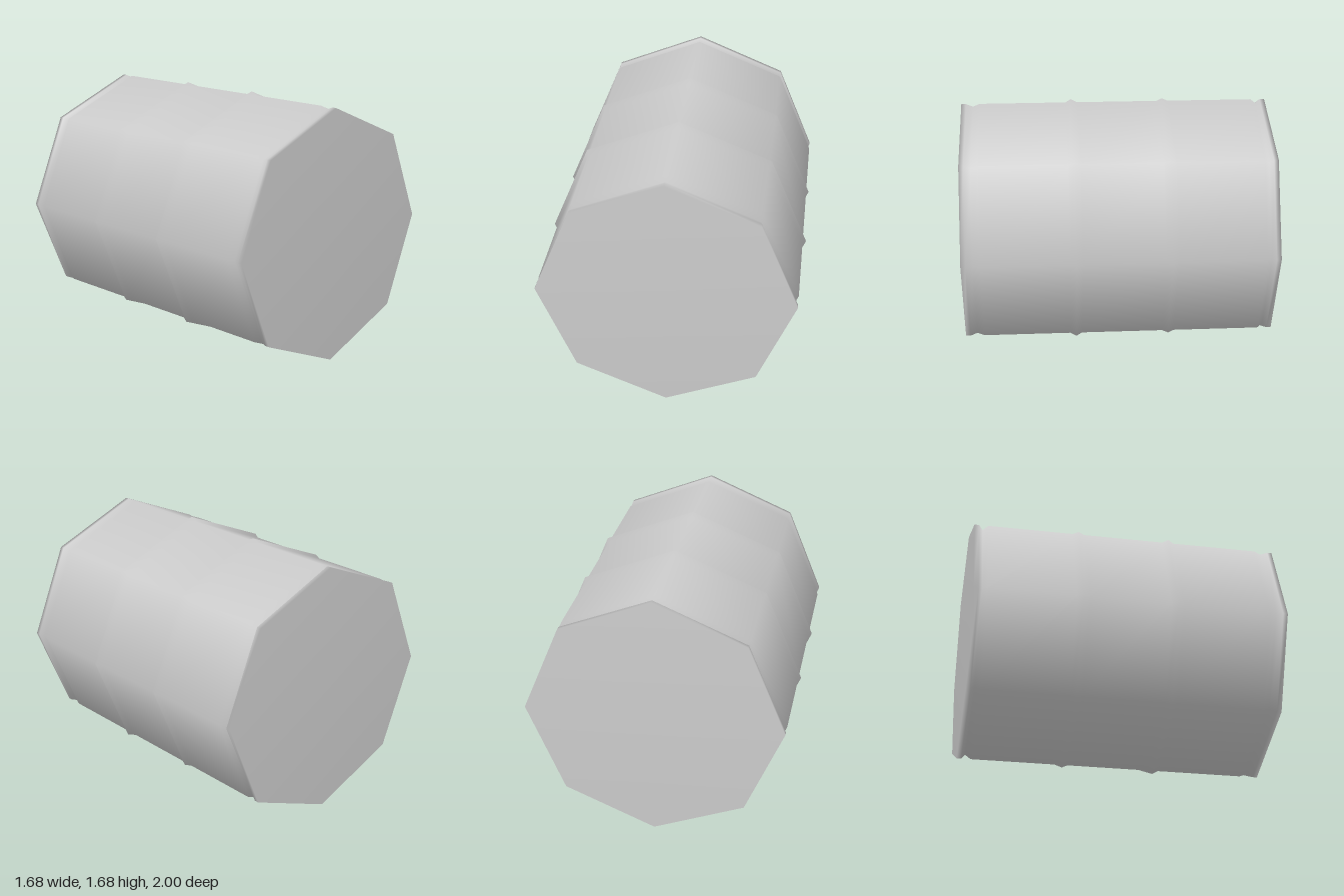
import * as THREE from 'three';

export function createModel() {
  const group = new THREE.Group();
  const R = 0.818;

  // closed profile from back centre to front centre: [radius, position along the axis]
  const profile = [
    [0, -1], [R, -1],
    [R, -0.97], [0.787, -0.945], [R, -0.91],   // back groove
    [R, -0.355], [0.835, -0.318], [R, -0.28],  // back hoop
    [R, 0.245], [0.84, 0.283], [R, 0.32],      // front hoop
    [R, 0.88], [0.8, 0.925], [R, 0.97],        // front groove
    [R, 1], [0, 1],
  ].map(([r, z]) => new THREE.Vector2(r, z));

  // eight-sided drum lying on its side along z, smooth shaded
  const geometry = new THREE.LatheGeometry(profile, 8);
  geometry.rotateX(Math.PI / 2);
  const drum = new THREE.Mesh(geometry, new THREE.MeshStandardMaterial({ color: 0xcccccc }));
  drum.name = 'barrel';
  drum.position.y = 0.84;
  group.add(drum);
  return group;
}
